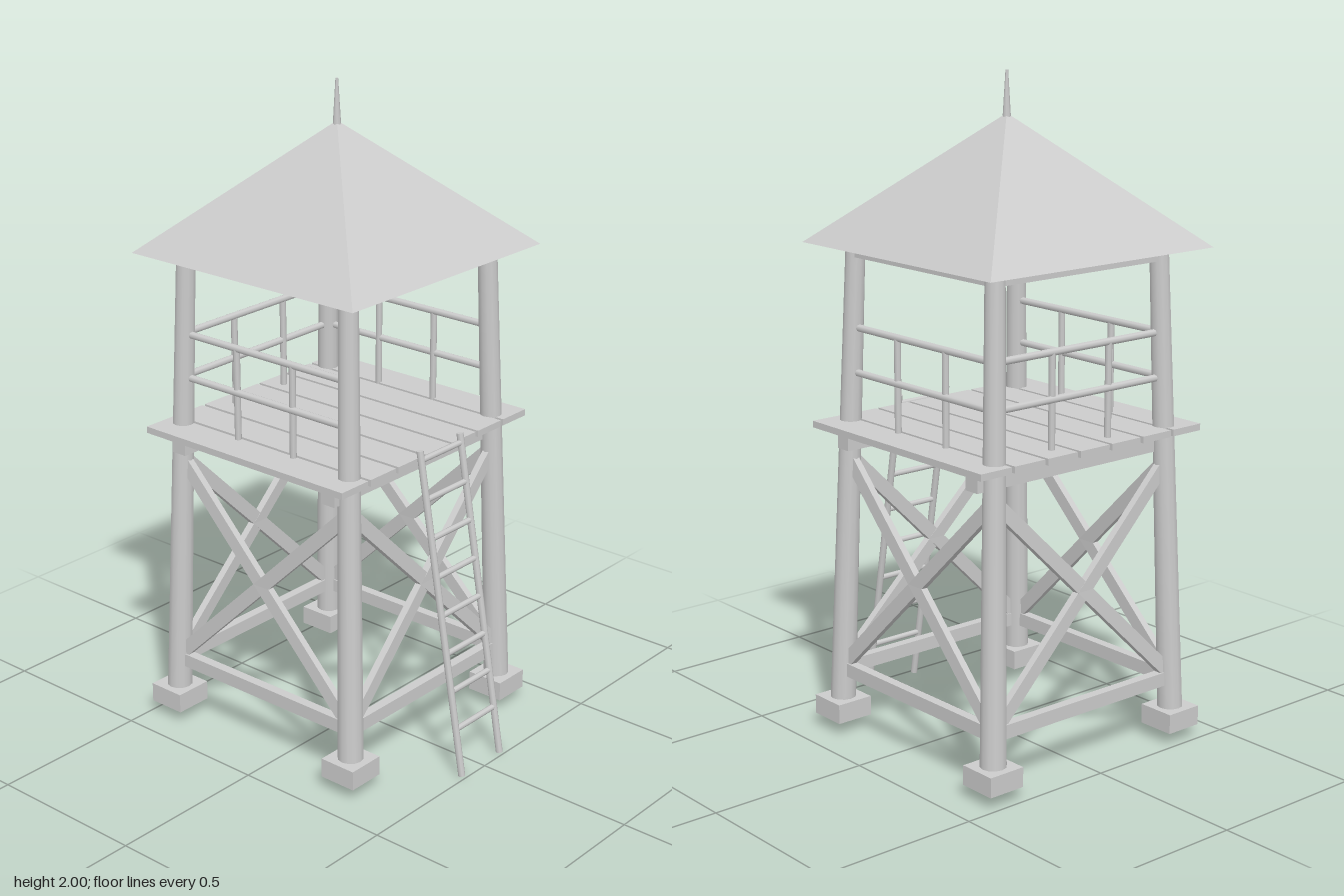
import * as THREE from 'three';

const mat = new THREE.MeshStandardMaterial({ color: 0xcccccc });
const flatMat = new THREE.MeshStandardMaterial({ color: 0xcccccc, flatShading: true });
const UP = new THREE.Vector3(0, 1, 0);
const V = (x, y, z) => new THREE.Vector3(x, y, z);

function add(parent, name, geometry, position, material = mat) {
  const mesh = new THREE.Mesh(geometry, material);
  mesh.name = name;
  mesh.position.copy(position);
  parent.add(mesh);
  return mesh;
}

function box(parent, name, w, h, d, x, y, z) {
  return add(parent, name, new THREE.BoxGeometry(w, h, d), V(x, y, z));
}

// Round pole running from a to b
function pole(parent, name, a, b, rA, rB = rA, sides = 8) {
  const geo = new THREE.CylinderGeometry(rB, rA, a.distanceTo(b), sides);
  const mesh = add(parent, name, geo, a.clone().lerp(b, 0.5));
  mesh.quaternion.setFromUnitVectors(UP, b.clone().sub(a).normalize());
  return mesh;
}

// Flat board from a to b, both in a plane facing z
function board(parent, name, a, b, height, depth) {
  const mesh = box(parent, name, a.distanceTo(b), height, depth, 0, 0, 0);
  mesh.position.copy(a).lerp(b, 0.5);
  mesh.quaternion.setFromUnitVectors(V(1, 0, 0), b.clone().sub(a).normalize());
  return mesh;
}

// Distance of the leaning legs from the tower axis at height y
const lean = (y) => 0.352 - (0.042 * (y - 0.08)) / 1.42;

export function createModel() {
  const model = new THREE.Group();
  const tower = new THREE.Group();
  tower.name = 'tower';
  tower.position.x = -0.078;
  model.add(tower);

  // Legs on square footings
  for (const sx of [-1, 1]) for (const sz of [-1, 1]) {
    const at = (y) => V(sx * lean(y), y, sz * lean(y));
    pole(tower, 'leg', at(0.08), at(1.5), 0.039, 0.029, 12);
    box(tower, 'footing', 0.12, 0.06, 0.12, sx * 0.352, 0.07, sz * 0.352);
  }

  // Four sides: cross braces, tie beams and railing (the ladder side stays open)
  ['front', 'right', 'back', 'left'].forEach((label, i) => {
    const side = new THREE.Group();
    side.name = label + 'Side';
    side.rotation.y = (i * Math.PI) / 2;
    tower.add(side);

    const lo = 0.2, hi = 0.86;
    for (const s of [-1, 1]) {
      board(side, 'crossBrace', V(-s * lean(lo), lo, lean(lo)), V(s * lean(hi), hi, lean(hi)), 0.042, 0.022);
    }
    box(side, 'lowerTie', 2 * lean(lo), 0.042, 0.03, 0, 0.195, lean(lo));
    box(side, 'topPlate', 2 * lean(1.48), 0.038, 0.038, 0, 1.481, lean(1.48));

    if (label !== 'right') {
      for (const y of [1.118, 1.252]) {
        pole(side, 'handrail', V(-lean(y), y, lean(y)), V(lean(y), y, lean(y)), 0.011);
      }
      for (const x of [-0.108, 0.108]) {
        pole(side, 'railPost', V(x, 0.96, 0.318), V(x, 1.252, 0.318), 0.01);
      }
    }
  });

  // Platform planks on two joists
  for (let i = -3; i <= 3; i++) {
    box(tower, 'plank', 0.765, 0.02, 0.111, 0, 0.962, i * 0.1222);
  }
  for (const s of [-1, 1]) {
    box(tower, 'joist', 0.05, 0.05, 0.76, s * 0.293, 0.92, 0);
  }

  // Pyramid roof, closed underneath, with a spike
  const roof = new THREE.ConeGeometry(0.42 * Math.SQRT2, 0.378, 4);
  roof.rotateY(Math.PI / 4);
  add(tower, 'roof', roof, V(0, 1.689, 0), flatMat);
  pole(tower, 'spike', V(0, 1.85, 0), V(0, 2, 0), 0.013, 0.004);

  // Leaning ladder
  const ladder = new THREE.Group();
  ladder.name = 'ladder';
  model.add(ladder);
  const foot = V(0.485, 0.003, 0), head = V(0.312, 0.997, 0);
  for (const s of [-1, 1]) {
    const shift = V(0, 0, s * 0.092);
    pole(ladder, 'ladderRail', foot.clone().add(shift), head.clone().add(shift), 0.0105);
  }
  for (let i = 0; i < 8; i++) {
    const y = 0.15 + i * 0.117;
    const x = THREE.MathUtils.mapLinear(y, foot.y, head.y, foot.x, head.x);
    pole(ladder, 'rung', V(x, y, -0.092), V(x, y, 0.092), 0.009);
  }

  return model;
}
